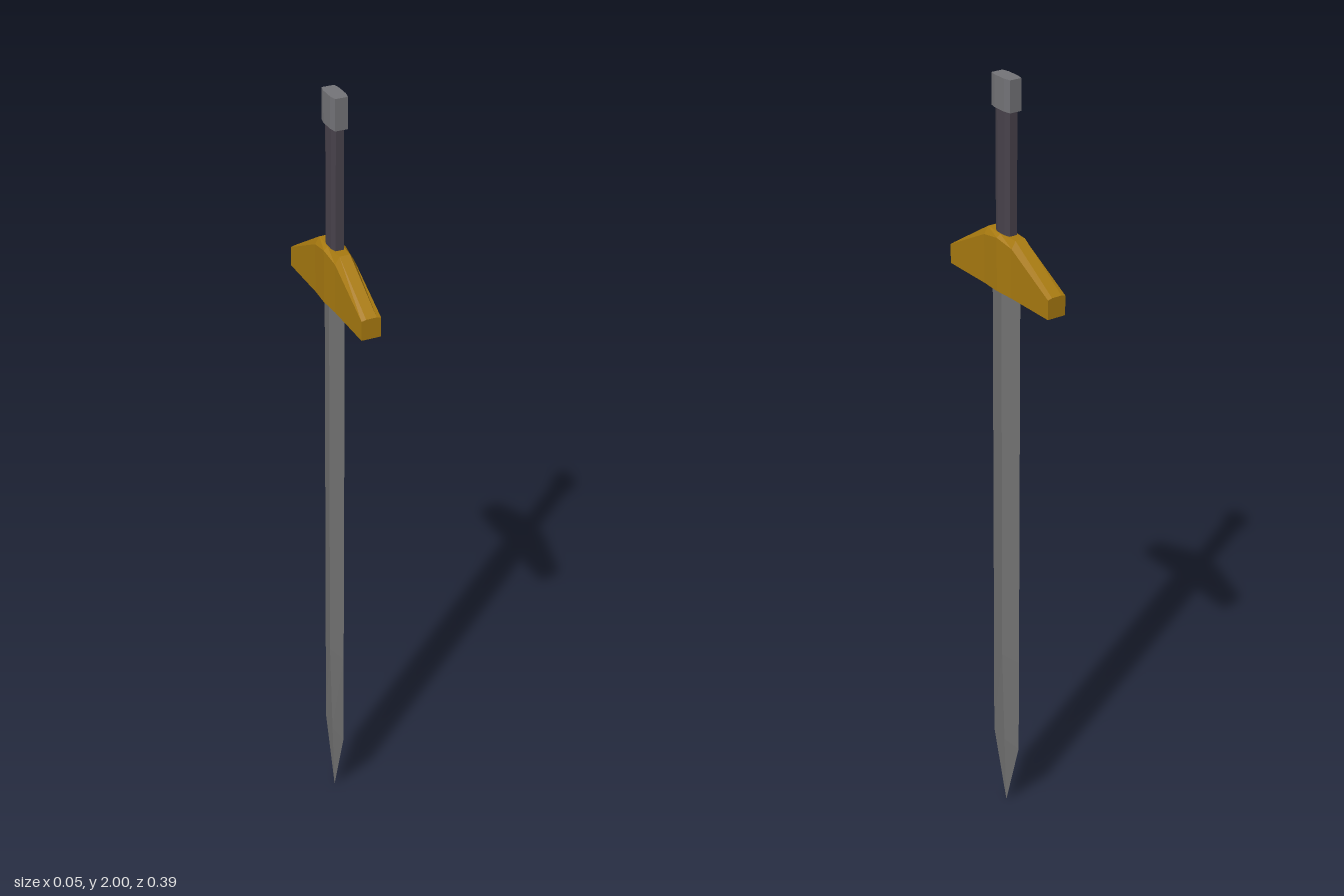
import * as THREE from 'three';

const material = (name, color) => {
  const m = new THREE.MeshStandardMaterial({ color, flatShading: true });
  m.name = name;
  return m;
};

// Skins a row of rings (each counter-clockwise about the loft axis) and caps both ends
function loft(rings) {
  const n = rings[0].length, last = rings.length - 1, index = [];
  for (let r = 0; r < last; r++) {
    for (let i = 0; i < n; i++) {
      const j = (i + 1) % n, a = r * n, b = a + n;
      index.push(a + i, a + j, b + j, a + i, b + j, b + i);
    }
  }
  for (let i = 1; i < n - 1; i++) {
    index.push(0, i + 1, i, last * n, last * n + i, last * n + i + 1);
  }
  const g = new THREE.BufferGeometry();
  g.setAttribute('position', new THREE.Float32BufferAttribute(rings.flat(2), 3));
  g.setIndex(index);
  const flat = g.toNonIndexed();
  flat.computeVertexNormals();
  return flat;
}

// Horizontal diamond: half width along z, half thickness along x
const diamond = (y, w, t) => [[0, y, w], [t, y, 0], [0, y, -w], [-t, y, 0]];

// Horizontal octagon with narrow ends
const octagon = (y, w, t, wIn, tIn) => [
  [tIn, y, w], [t, y, wIn], [t, y, -wIn], [tIn, y, -w],
  [-tIn, y, -w], [-t, y, -wIn], [-t, y, wIn], [-tIn, y, w],
];

// Upright guard section: straight sides, then a chamfer up to a narrow top
const guardRing = (z, w, shoulder, t, top) => [
  [-w, 1.49, z], [w, 1.49, z], [w, shoulder, z],
  [t, top, z], [-t, top, z], [-w, shoulder, z],
];

export function createModel() {
  const model = new THREE.Group();
  model.name = 'sword';
  const add = (name, rings, mat) => {
    const mesh = new THREE.Mesh(loft(rings), mat);
    mesh.name = name;
    model.add(mesh);
  };

  const steel = material('steel', 0x727272);
  const gold = material('gold', 0xa87a10);
  const leather = material('dark leather', 0x48424c);
  const pommelGrey = material('pommel grey', 0x747478);

  // Blade, thinning towards the point
  add('blade', [
    diamond(0, 0.0005, 0.0003),
    diamond(0.2, 0.056, 0.006),
    diamond(0.47, 0.056, 0.013),
    diamond(1.5, 0.056, 0.014),
  ], steel);

  // Cross guard, lofted from back to front
  add('guard', [
    guardRing(-0.197, 0.024, 1.538, 0.013, 1.541),
    guardRing(-0.055, 0.024, 1.612, 0.013, 1.63),
    guardRing(0, 0.027, 1.622, 0.017, 1.63),
    guardRing(0.055, 0.024, 1.612, 0.013, 1.63),
    guardRing(0.197, 0.024, 1.538, 0.013, 1.541),
  ], gold);

  // Grip
  add('grip', [
    octagon(1.62, 0.028, 0.015, 0.014, 0.01),
    octagon(1.93, 0.028, 0.015, 0.014, 0.01),
  ], leather);

  // Pommel
  add('pommel', [
    octagon(1.925, 0.036, 0.019, 0.018, 0.015),
    octagon(2, 0.036, 0.019, 0.018, 0.015),
  ], pommelGrey);

  return model;
}
